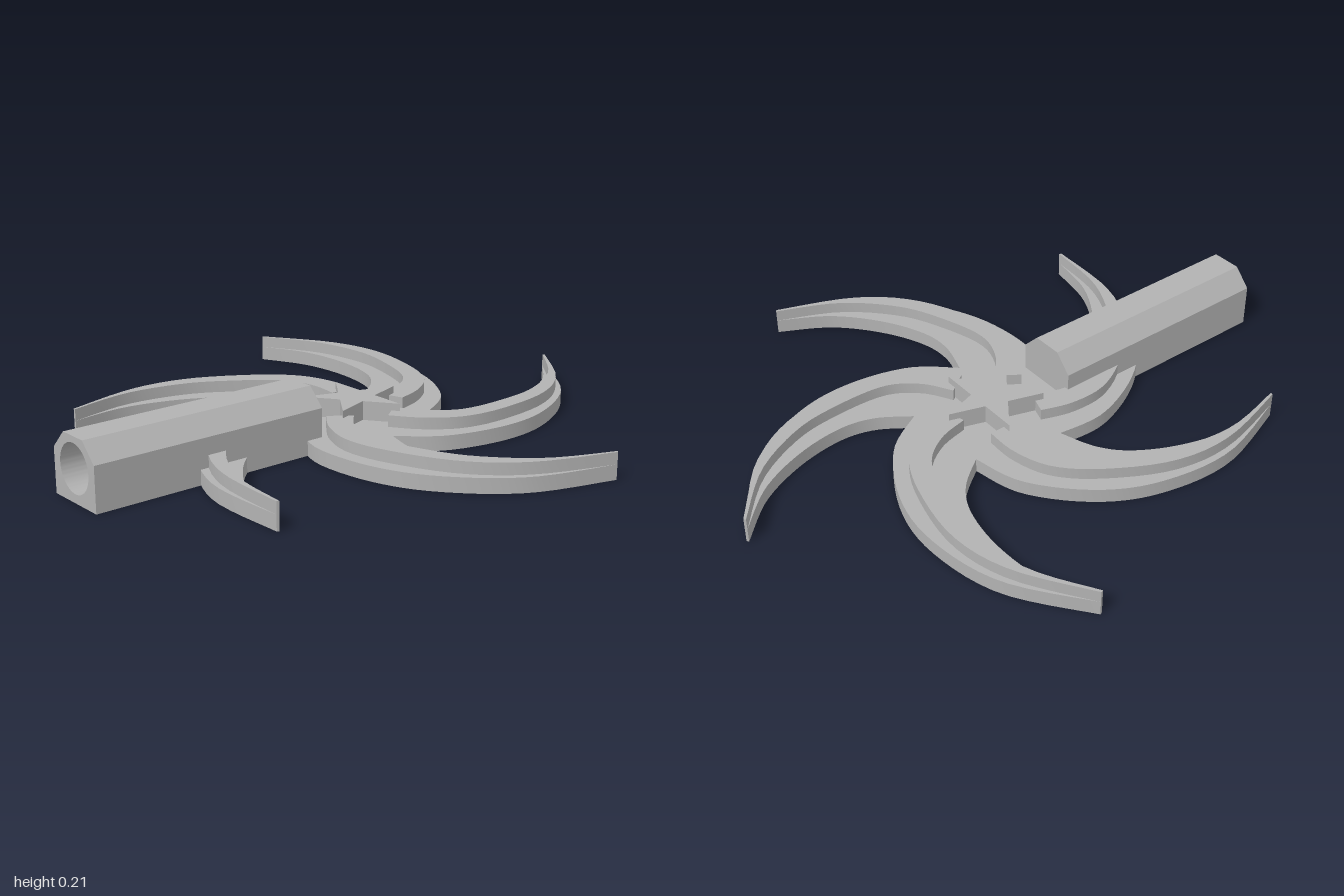
import * as THREE from 'three';
import { toCreasedNormals } from 'three/addons/utils/BufferGeometryUtils.js';

const ARMS = 5;
const STEP = (Math.PI * 2) / ARMS;
const HUB_Z = -0.07;
const BASE_H = 0.05, RIDGE_H = 0.09, STAR_H = 0.115;

// Edges of one arm in plan (x right, y toward the back), relative to the hub
const innerEdge = [[0.13, 0.22], [0.202, 0.33], [0.226, 0.45], [0.2, 0.615], [0.125, 0.785], [-0.003, 0.925]];
const outerEdge = [[0.004, 0.93], [0.246, 0.75], [0.377, 0.522], [0.41, 0.31], [0.361, 0.085], [0.249, -0.056]];
const ridgeInner = [[0.118, 0.067], [0.215, 0.13], [0.281, 0.235], [0.29, 0.41], [0.264, 0.58], [0.165, 0.77], [-0.003, 0.925]];
const ridgeOuter = [[0.004, 0.93], [0.215, 0.755], [0.325, 0.568], [0.358, 0.34], [0.338, 0.177], [0.263, 0.064], [0.171, -0.006]];

const smooth = (pts) =>
  new THREE.SplineCurve(pts.map(([x, y]) => new THREE.Vector2(x, y))).getPoints(28);

// Extrude a plan outline upward from y0 to y1
function slab(points, y0, y1) {
  const geo = new THREE.ExtrudeGeometry(new THREE.Shape(points), { depth: y1 - y0, bevelEnabled: false });
  geo.rotateX(-Math.PI / 2);
  geo.translate(0, y0, 0);
  return toCreasedNormals(geo, 0.5);
}

export function createModel() {
  const model = new THREE.Group();
  const grey = new THREE.MeshStandardMaterial({ color: 0xb2b2b2 });
  grey.name = 'grey';
  const add = (parent, name, geo) => {
    const mesh = new THREE.Mesh(geo, grey);
    mesh.name = name;
    parent.add(mesh);
    return mesh;
  };

  const pinwheel = new THREE.Group();
  pinwheel.name = 'pinwheel';
  pinwheel.position.z = HUB_Z;
  model.add(pinwheel);

  // Flat base: the outlines of all curved arms joined at the notches
  const armOutline = [...smooth(innerEdge), ...smooth(outerEdge).slice(0, -1)];
  const origin = new THREE.Vector2();
  const outline = [];
  for (let i = 0; i < ARMS; i++) {
    outline.push(...armOutline.map((p) => p.clone().rotateAround(origin, -i * STEP)));
  }
  add(pinwheel, 'armBase', slab(outline, 0, BASE_H));

  // Raised rib along each arm
  const ridgeGeo = slab([...smooth(ridgeInner), ...smooth(ridgeOuter)], BASE_H, RIDGE_H);
  for (let i = 0; i < ARMS; i++) {
    add(pinwheel, 'armRidge', ridgeGeo).rotation.y = -i * STEP;
  }

  // Centre star
  const star = [];
  for (let i = 0; i < ARMS * 2; i++) {
    const r = i % 2 ? 0.066 : 0.172;
    const a = Math.PI / 2 + (i * STEP) / 2;
    star.push(new THREE.Vector2(Math.cos(a) * r, Math.sin(a) * r));
  }
  add(pinwheel, 'star', slab(star, BASE_H, STAR_H));

  // Chamfered tube with a round bore open at the front
  const profile = () => new THREE.Shape(
    [[-0.112, 0], [0.112, 0], [0.112, 0.147], [0.053, 0.208], [-0.053, 0.208], [-0.112, 0.147]]
      .map(([x, y]) => new THREE.Vector2(x, y)));
  const bored = profile();
  bored.holes.push(new THREE.Path().absarc(0, 0.108, 0.079, 0, Math.PI * 2, true));
  const section = (shape, z0, z1) => {
    const geo = new THREE.ExtrudeGeometry(shape, { depth: z1 - z0, bevelEnabled: false, curveSegments: 40 });
    geo.translate(0, 0, z0);
    return toCreasedNormals(geo, 0.5);
  };
  const tube = new THREE.Group();
  tube.name = 'tube';
  model.add(tube);
  add(tube, 'tubeBody', section(bored, 0.22, 1));
  add(tube, 'tubeBackWall', section(profile(), 0.165, 0.22));

  return model;
}
